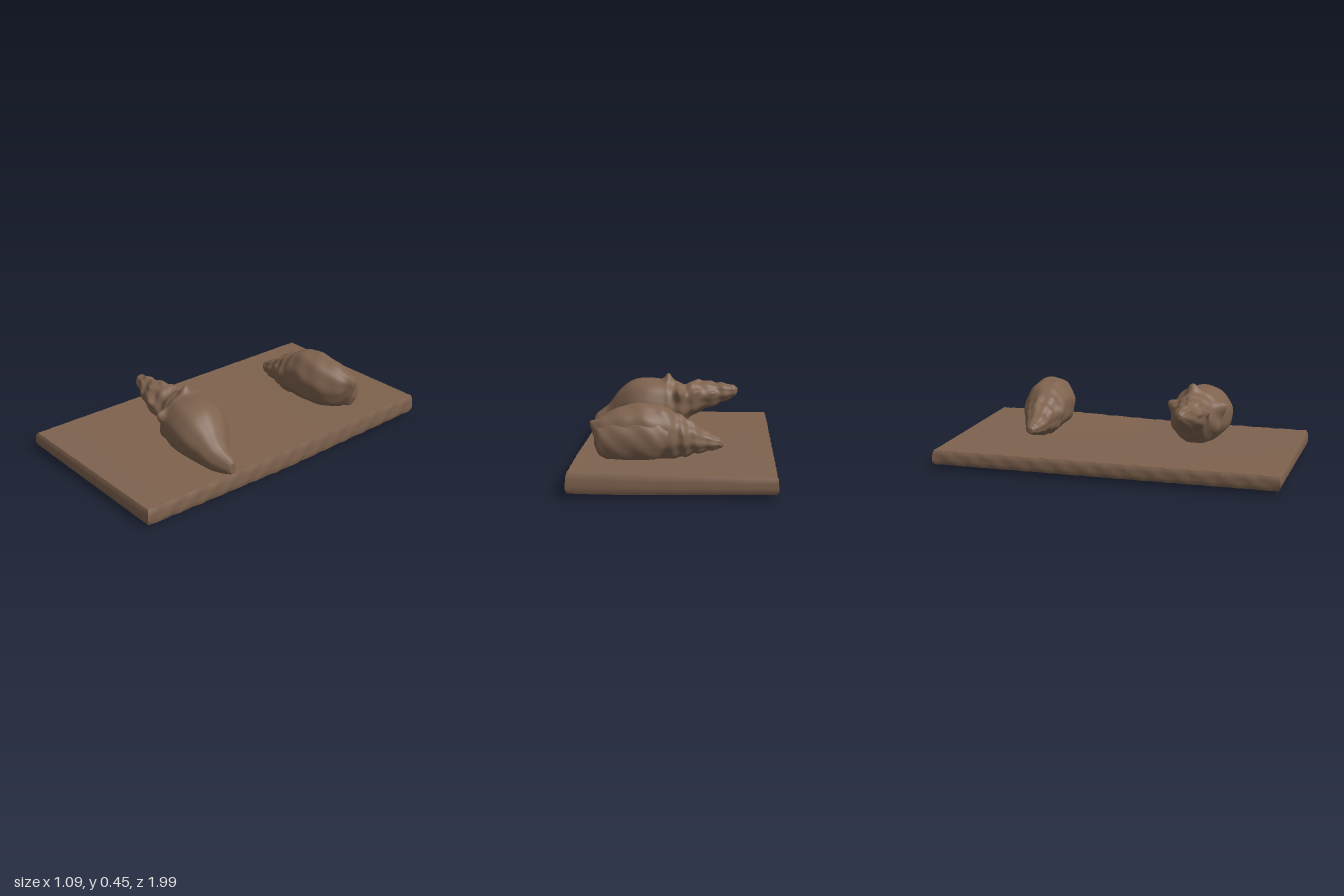
import * as THREE from 'three';

const clay = new THREE.MeshStandardMaterial({ color: 0x7e624e });
clay.name = 'brownClay';

// Smooth closed loft along x; each station is [x, yBottom, yTop, zMin, zMax]
function loft(stations, relief, rings = 160, sides = 96) {
  const low = new THREE.CatmullRomCurve3(stations.map(s => new THREE.Vector3(s[0], s[1], s[3])), false, 'centripetal');
  const high = new THREE.CatmullRomCurve3(stations.map(s => new THREE.Vector3(s[0], s[2], s[4])), false, 'centripetal');
  const pos = [], index = [];
  for (let i = 0; i <= rings; i++) {
    const t = i / rings, a = low.getPoint(t), b = high.getPoint(t), x = (a.x + b.x) / 2;
    for (let j = 0; j < sides; j++) {
      const ang = j / sides * Math.PI * 2;
      const k = 1 + relief(t, ang, x) * Math.min(1, t * 12, (1 - t) * 12);
      pos.push(x,
        (a.y + b.y) / 2 + (b.y - a.y) / 2 * k * Math.sin(ang),
        (a.z + b.z) / 2 + (b.z - a.z) / 2 * k * Math.cos(ang));
    }
  }
  for (let i = 0; i < rings; i++) for (let j = 0; j < sides; j++) {
    const p = i * sides + j, q = i * sides + (j + 1) % sides;
    index.push(p, p + sides, q, q, p + sides, q + sides);
  }
  // End caps
  for (const [ring, flip] of [[0, false], [rings, true]]) {
    const c = pos.length / 3, o = ring * sides, m = [0, 0, 0];
    for (let j = 0; j < sides; j++) for (let n = 0; n < 3; n++) m[n] += pos[(o + j) * 3 + n] / sides;
    pos.push(...m);
    for (let j = 0; j < sides; j++) {
      const p = o + j, q = o + (j + 1) % sides;
      flip ? index.push(c, q, p) : index.push(c, p, q);
    }
  }
  const g = new THREE.BufferGeometry();
  g.setAttribute('position', new THREE.Float32BufferAttribute(pos, 3));
  g.setIndex(index);
  g.computeVertexNormals();
  return g;
}

function add(group, geometry, name) {
  const m = new THREE.Mesh(geometry, clay);
  m.name = name;
  group.add(m);
}

// Knobs raised from a shell; each is [x, angle, height, width]
function knobs(list, x, ang) {
  let sum = 0;
  for (const [kx, ka, h, w] of list) {
    const da = Math.atan2(Math.sin(ang - ka), Math.cos(ang - ka)) * 0.13;
    sum += h * Math.exp(-((x - kx) ** 2 + da * da) / (w * w));
  }
  return sum;
}

// Gently warped slab with rough edges
function slab() {
  const g = new THREE.BoxGeometry(1.085, 1, 1.985, 36, 6, 72), p = g.attributes.position;
  const curve = (z, v) => {
    const f = (1 - z) / 2 * (v.length - 1), i = Math.min(v.length - 2, Math.floor(f));
    return THREE.MathUtils.lerp(v[i], v[i + 1], f - i);
  };
  for (let i = 0; i < p.count; i++) {
    let x = p.getX(i), z = p.getZ(i);
    const v = p.getY(i) + 0.5, u = x / 1.085 + 0.5;
    const edgeX = Math.abs(x) > 0.54, edgeZ = Math.abs(z) > 0.99;
    const bottom = THREE.MathUtils.lerp(0.028 - 0.012 * u, curve(z, [0.015, 0.008, 0.001, 0.014, 0.026]), u ** 5);
    const top = THREE.MathUtils.lerp(0.11, curve(z, [0.108, 0.11, 0.116, 0.131, 0.131]), u);
    const wob = 0.004 * Math.sin(z * 47 + v * 5) + 0.003 * Math.sin(x * 39 + z * 83);
    const inset = 0.009 * Math.abs(2 * v - 1) ** 4;
    if (edgeX) x -= Math.sign(x) * (inset + wob * 0.6);
    if (edgeZ) z -= Math.sign(z) * (inset + wob * 0.2);
    const rim = edgeX ? wob * 0.5 * v : 0;
    p.setXYZ(i, x, Math.max(0, bottom + (top - bottom) * v + rim), z);
  }
  g.computeVertexNormals();
  return g;
}

export function createModel() {
  const model = new THREE.Group();
  model.name = 'shellsOnSlab';
  add(model, slab(), 'slab');

  // Large horned shell near the front
  const horns = [
    [0.07, 1.7, 0.28, 0.028], [0.072, 0.4, 0.3, 0.028], [0.005, 2.6, 0.3, 0.03],
    [-0.105, 1.57, 0.24, 0.026], [-0.09, 0.2, 0.2, 0.026], [-0.1, 2.7, 0.2, 0.026],
    [-0.19, 1.5, 0.12, 0.022], [-0.2, 0.2, 0.2, 0.024], [-0.2, 2.9, 0.16, 0.024],
    [-0.15, 0.9, 0.12, 0.022], [-0.26, 0.8, 0.12, 0.02], [0.04, 5.9, 0.1, 0.03],
  ];
  add(model, loft([
    [-0.347, 0.335, 0.362, 0.39, 0.41], [-0.33, 0.31, 0.375, 0.37, 0.43],
    [-0.27, 0.28, 0.388, 0.355, 0.45], [-0.2, 0.245, 0.392, 0.34, 0.48],
    [-0.1, 0.21, 0.4, 0.305, 0.5], [-0.03, 0.16, 0.39, 0.275, 0.495],
    [0.05, 0.11, 0.4, 0.265, 0.53], [0.12, 0.095, 0.416, 0.245, 0.565],
    [0.22, 0.09, 0.42, 0.238, 0.58], [0.3, 0.09, 0.4, 0.262, 0.572],
    [0.38, 0.09, 0.34, 0.32, 0.54], [0.45, 0.09, 0.25, 0.37, 0.5],
    [0.52, 0.1, 0.195, 0.39, 0.455], [0.535, 0.11, 0.175, 0.4, 0.44],
  ], (t, a, x) => {
    const spire = THREE.MathUtils.smoothstep(0.5 - t, 0, 0.12);
    const shoulder = 0.05 * Math.exp(-(((x - 0.065 - 0.015 * Math.sin(a)) / 0.022) ** 2));
    return knobs(horns, x, a) + shoulder
      + spire * (0.055 * Math.sin(t * 72 + a) + 0.035 * Math.sin(a * 7 + t * 20))
      + (1 - spire) * (0.01 * Math.sin(a * 9 + t * 9) + 0.008 * Math.sin(a * 4 - t * 25));
  }), 'hornedShell');

  // Smaller ribbed shell near the back
  const small = new THREE.Group();
  small.name = 'ribbedShell';
  const bumps = [[0.005, 0.1, 0.14, 0.03], [-0.09, 0.5, 0.1, 0.025], [-0.08, 1.8, 0.1, 0.03], [0.06, 2.2, 0.07, 0.03], [-0.05, 2.9, 0.1, 0.03]];
  add(small, loft([
    [-0.26, 0.175, 0.205, -0.515, -0.49], [-0.24, 0.165, 0.225, -0.535, -0.47],
    [-0.18, 0.15, 0.255, -0.555, -0.445], [-0.1, 0.135, 0.305, -0.59, -0.43],
    [-0.03, 0.115, 0.35, -0.61, -0.405], [0.05, 0.11, 0.395, -0.64, -0.395],
    [0.14, 0.11, 0.418, -0.66, -0.388], [0.22, 0.11, 0.415, -0.66, -0.392],
    [0.3, 0.12, 0.395, -0.655, -0.42], [0.37, 0.14, 0.362, -0.645, -0.47],
    [0.42, 0.2, 0.335, -0.62, -0.52], [0.455, 0.295, 0.325, -0.58, -0.55],
  ], (t, a, x) => {
    const spire = THREE.MathUtils.smoothstep(0.5 - t, 0, 0.15);
    return knobs(bumps, x, a)
      + spire * (0.05 * Math.sin(t * 70 + a) + 0.03 * Math.sin(a * 8))
      + (1 - spire) * (0.02 * Math.sin(a * 8 + t * 10) + 0.012 * Math.sin(t * 45 + a * 3));
  }), 'shellBody');
  // Flared outer lip on the rear side
  add(small, loft([
    [0.03, 0.2, 0.29, -0.645, -0.58], [0.1, 0.13, 0.33, -0.672, -0.56], [0.2, 0.12, 0.34, -0.674, -0.55],
    [0.32, 0.12, 0.33, -0.668, -0.54], [0.4, 0.14, 0.31, -0.652, -0.55], [0.43, 0.2, 0.28, -0.625, -0.58],
  ], (t, a) => 0.03 * Math.sin(a * 5 + t * 25), 40, 32), 'outerLip');
  model.add(small);
  return model;
}
